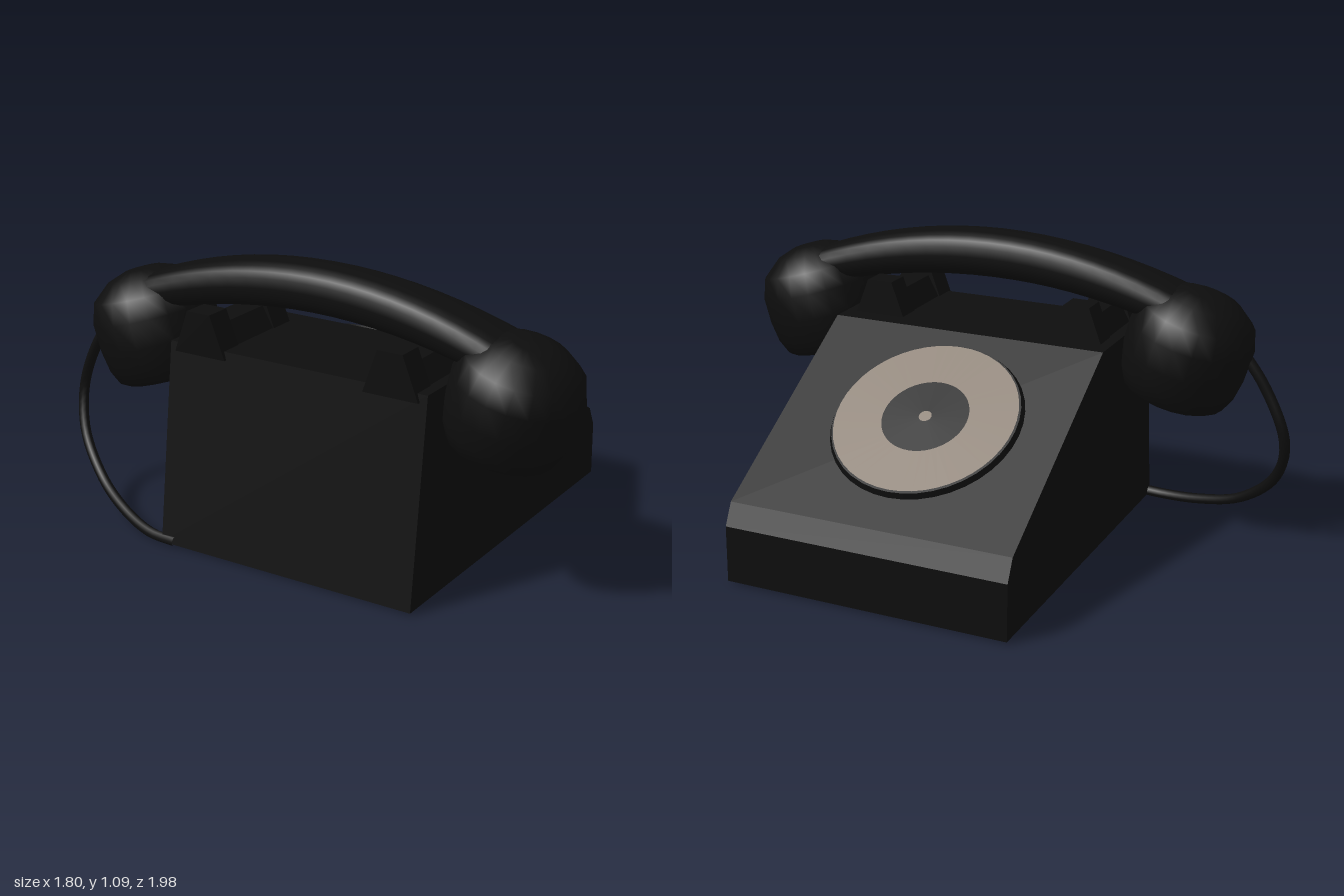
import * as THREE from 'three';

const black = new THREE.MeshStandardMaterial({ color: 0x0d0d0d });
black.name = 'black';
const beige = new THREE.MeshStandardMaterial({ color: 0x8c8074 });
beige.name = 'beige';

function add(parent, name, geometry, material = black) {
  const mesh = new THREE.Mesh(geometry, material);
  mesh.name = name;
  parent.add(mesh);
  return mesh;
}

// Prism: outline in x/y, extruded symmetrically along z
function prism(points, depth) {
  const shape = new THREE.Shape(points.map(([x, y]) => new THREE.Vector2(x, y)));
  const geometry = new THREE.ExtrudeGeometry(shape, { depth, bevelEnabled: false });
  return geometry.translate(0, 0, -depth / 2);
}

// Arched handle: a cylinder along z with reshaped cross-sections
function handleGeometry() {
  const geometry = new THREE.CylinderGeometry(1, 1, 1.68, 20, 20).rotateX(Math.PI / 2);
  const p = geometry.attributes.position;
  const square = (v) => Math.sign(v) * Math.pow(Math.abs(v), 0.75);
  for (let i = 0; i < p.count; i++) {
    const z = p.getZ(i);
    const top = 1.095 - 0.25 * z * z;
    const under = 0.92 - 0.2 * z * z;
    const halfWidth = 0.11 + 0.05 * z * z;
    const y = (top + under) / 2 + square(p.getY(i)) * (top - under) / 2;
    p.setXYZ(i, square(p.getX(i)) * halfWidth, y, z);
  }
  geometry.computeVertexNormals();
  return geometry;
}

export function createModel() {
  const model = new THREE.Group();
  model.name = 'telephone';

  // The telephone stands turned on its base; its own front is +x
  const phone = new THREE.Group();
  phone.name = 'phone';
  phone.position.set(0.025, 0, -0.12);
  phone.rotation.y = 0.431;
  model.add(phone);

  // Wedge-shaped body
  add(phone, 'body', prism([
    [-0.716, 0.01], [0.716, 0.01], [0.716, 0.22], [0.677, 0.3],
    [-0.117, 0.77], [-0.605, 0.77],
  ], 1.078));

  // Cradles: two prongs and a low saddle on each side
  for (const s of [-1, 1]) {
    const cradle = new THREE.Group();
    cradle.name = s > 0 ? 'rightCradle' : 'leftCradle';
    cradle.position.z = s * 0.4;
    phone.add(cradle);
    const block = (name, x, width, height) => {
      const outline = [[-0.11, 0.74], [0.11, 0.74], [0.05, height], [-0.05, height]];
      add(cradle, name, prism(outline, width).rotateY(-Math.PI / 2)).position.x = x;
    };
    block('frontProng', -0.25, 0.1, 0.9);
    block('rearProng', -0.57, 0.1, 0.9);
    block('saddle', -0.41, 0.24, 0.85);
  }

  // Handset with tilted cups
  const handset = new THREE.Group();
  handset.name = 'handset';
  handset.position.x = -0.41;
  phone.add(handset);
  add(handset, 'handle', handleGeometry());
  const cupProfile = [
    [0, 0.015], [0.15, 0.015], [0.17, 0], [0.195, 0.015], [0.22, 0.07], [0.233, 0.15],
    [0.235, 0.25], [0.21, 0.33], [0.14, 0.39], [0.07, 0.415], [0, 0.42],
  ].map(([r, y]) => new THREE.Vector2(r, y));
  for (const s of [-1, 1]) {
    const cup = add(handset, s > 0 ? 'mouthpiece' : 'earpiece', new THREE.LatheGeometry(cupProfile, 20));
    cup.position.set(0, 0.55, s * 0.71);
    cup.rotation.x = s * 0.27;
  }

  // Dial on the sloping front
  const dial = new THREE.Group();
  dial.name = 'dial';
  dial.position.set(0.252, 0.552, -0.02);
  dial.rotation.z = -0.535;
  phone.add(dial);
  add(dial, 'dialBase', new THREE.CylinderGeometry(0.345, 0.365, 0.04, 40));
  add(dial, 'dialRing', new THREE.RingGeometry(0.16, 0.338, 48).rotateX(-Math.PI / 2), beige).position.y = 0.024;
  add(dial, 'dialDot', new THREE.CircleGeometry(0.024, 16).rotateX(-Math.PI / 2), beige).position.y = 0.024;

  // Cord from the earpiece down to the back of the body
  const cordPath = new THREE.CatmullRomCurve3([
    [-0.74, 0.8, -0.78], [-0.8, 0.62, -0.9], [-0.835, 0.42, -0.978], [-0.868, 0.26, -0.92],
    [-0.882, 0.12, -0.75], [-0.88, 0.05, -0.55], [-0.86, 0.022, -0.38], [-0.82, 0.022, -0.26],
  ].map((p) => new THREE.Vector3(...p)));
  add(model, 'cord', new THREE.TubeGeometry(cordPath, 40, 0.02, 8));

  return model;
}
